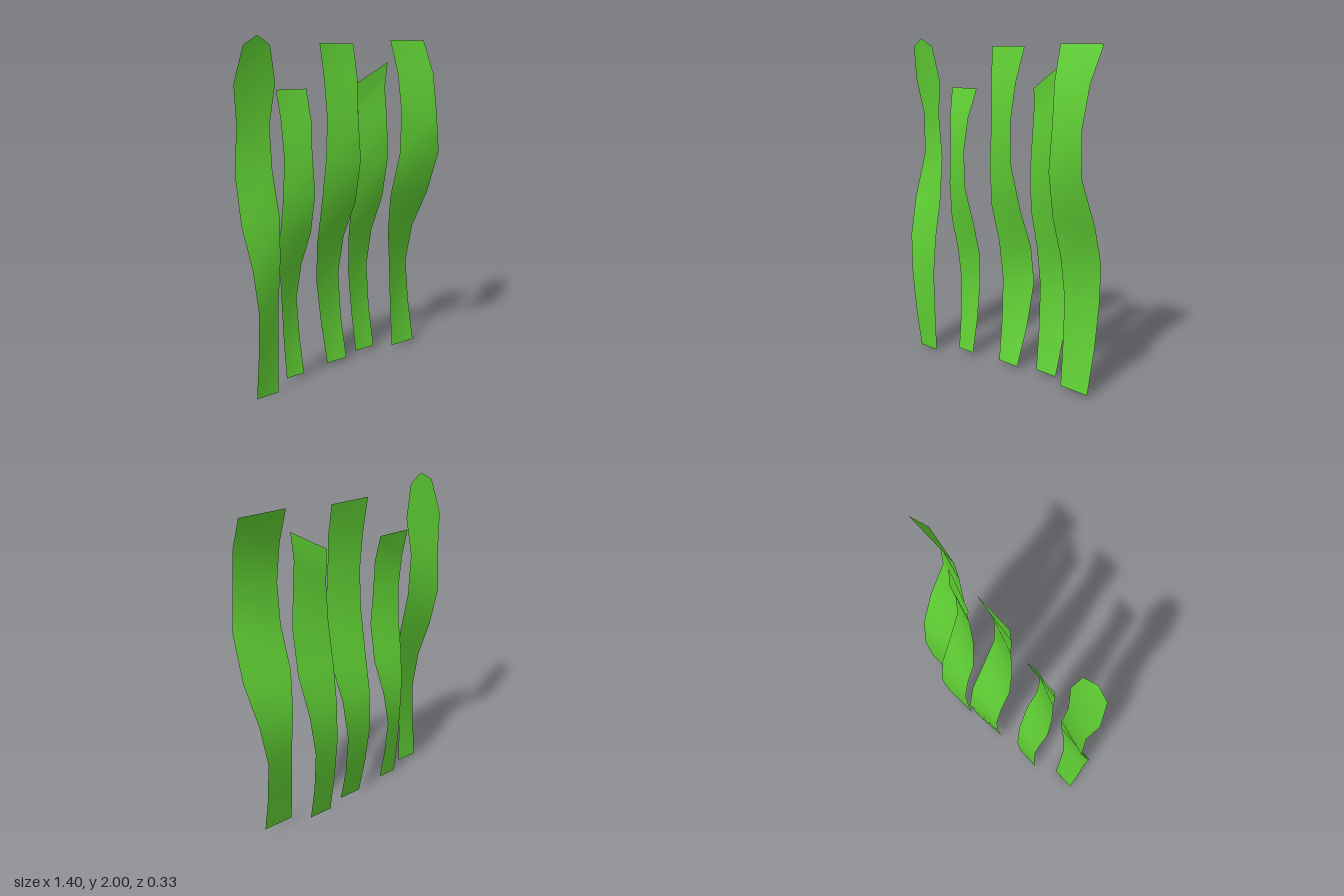
import * as THREE from 'three';

// Shared wave of every blade: row heights, the lower swell and the upper swell
const HEIGHT = [0, 0.13, 0.27, 0.393, 0.515, 0.653, 0.783, 0.898, 1];
const LOWER = [0, 0.62, 1, 0.65, 0, 0, 0, 0, 0];
const UPPER = [0, 0, 0, 0, 0.3, 1, 0.92, 0.62, 0];

// x: edge positions at every second row; lower / upper: swell in z;
// foot and top: end heights and depths. Pairs are [-x edge, +x edge].
const BLADES = [
  {
    name: 'pointedBlade', y: [0, 1.95], footZ: 0.1, topZ: [0.08, 0.08],
    x: [[-0.645, -0.655, -0.70, -0.675, -0.67], [-0.50, -0.50, -0.46, -0.495, -0.505]],
    lower: [0.055, 0.012], upper: [-0.107, -0.06],
    shoulder: [-0.705, -0.465], tip: [-0.59, 2, 0.09],
  },
  {
    name: 'shortBlade', y: [0.02, 1.71], footZ: 0.01, topZ: [0, 0],
    x: [[-0.38, -0.385, -0.42, -0.40, -0.42], [-0.255, -0.255, -0.215, -0.24, -0.215]],
    lower: [-0.035, -0.07], upper: [0.035, 0.085],
  },
  {
    name: 'middleBlade', y: [0.02, 1.96], footZ: -0.02, topZ: [-0.02, -0.02],
    x: [[-0.055, -0.085, -0.105, -0.08, -0.105], [0.095, 0.125, 0.14, 0.11, 0.14]],
    lower: [-0.07, -0.12], upper: [0.04, 0.095],
  },
  {
    name: 'slantedBlade', y: [0.02, 1.97], footZ: -0.065, topZ: [-0.04, 0.005],
    x: [[0.21, 0.19, 0.165, 0.195, 0.19], [0.36, 0.38, 0.40, 0.375, 0.39]],
    lower: [-0.055, -0.1], upper: [0.035, 0.09], cut: [1.73, 1.85],
  },
  {
    name: 'wideBlade', y: [0.02, 1.98], footZ: 0.01, topZ: [0.005, 0.005],
    x: [[0.455, 0.45, 0.40, 0.43, 0.41], [0.645, 0.65, 0.70, 0.67, 0.69]],
    lower: [-0.03, -0.09], upper: [0.09, 0.155],
  },
];

// Loft one blade as a ribbon between its two edges
function bladeGeometry(b) {
  const positions = [], index = [];
  const last = HEIGHT.length - 1;
  for (let i = 0; i <= last; i++) {
    for (let s = 0; s < 2; s++) {
      const knots = b.x[s], k = i >> 1;
      let x = i % 2 ? (knots[k] + knots[k + 1]) / 2 : knots[k];
      if (i === 7 && b.shoulder) x = b.shoulder[s];
      let y = THREE.MathUtils.lerp(b.y[0], b.y[1], HEIGHT[i]);
      if (b.cut && i > 6) {
        const start = THREE.MathUtils.lerp(b.y[0], b.y[1], HEIGHT[6]);
        y = THREE.MathUtils.lerp(start, b.cut[s], (i - 6) / 2);
      }
      const z = i === last ? b.topZ[s]
        : b.footZ + b.lower[s] * LOWER[i] + b.upper[s] * UPPER[i];
      positions.push(x, y, z);
    }
    if (i < last) {
      const a = 2 * i;
      index.push(a, a + 1, a + 3, a, a + 3, a + 2);
    }
  }
  // Optional pointed end
  if (b.tip) {
    positions.push(...b.tip);
    index.push(2 * last, 2 * last + 1, 2 * last + 2);
  }
  const g = new THREE.BufferGeometry();
  g.setAttribute('position', new THREE.Float32BufferAttribute(positions, 3));
  g.setIndex(index);
  g.computeVertexNormals();
  return g;
}

export function createModel() {
  const group = new THREE.Group();
  group.name = 'wavyLeafBlades';
  const leaf = new THREE.MeshStandardMaterial({ color: 0x60d034, side: THREE.DoubleSide });
  leaf.name = 'leafGreen';
  for (const b of BLADES) {
    const mesh = new THREE.Mesh(bladeGeometry(b), leaf);
    mesh.name = b.name;
    group.add(mesh);
  }
  return group;
}
